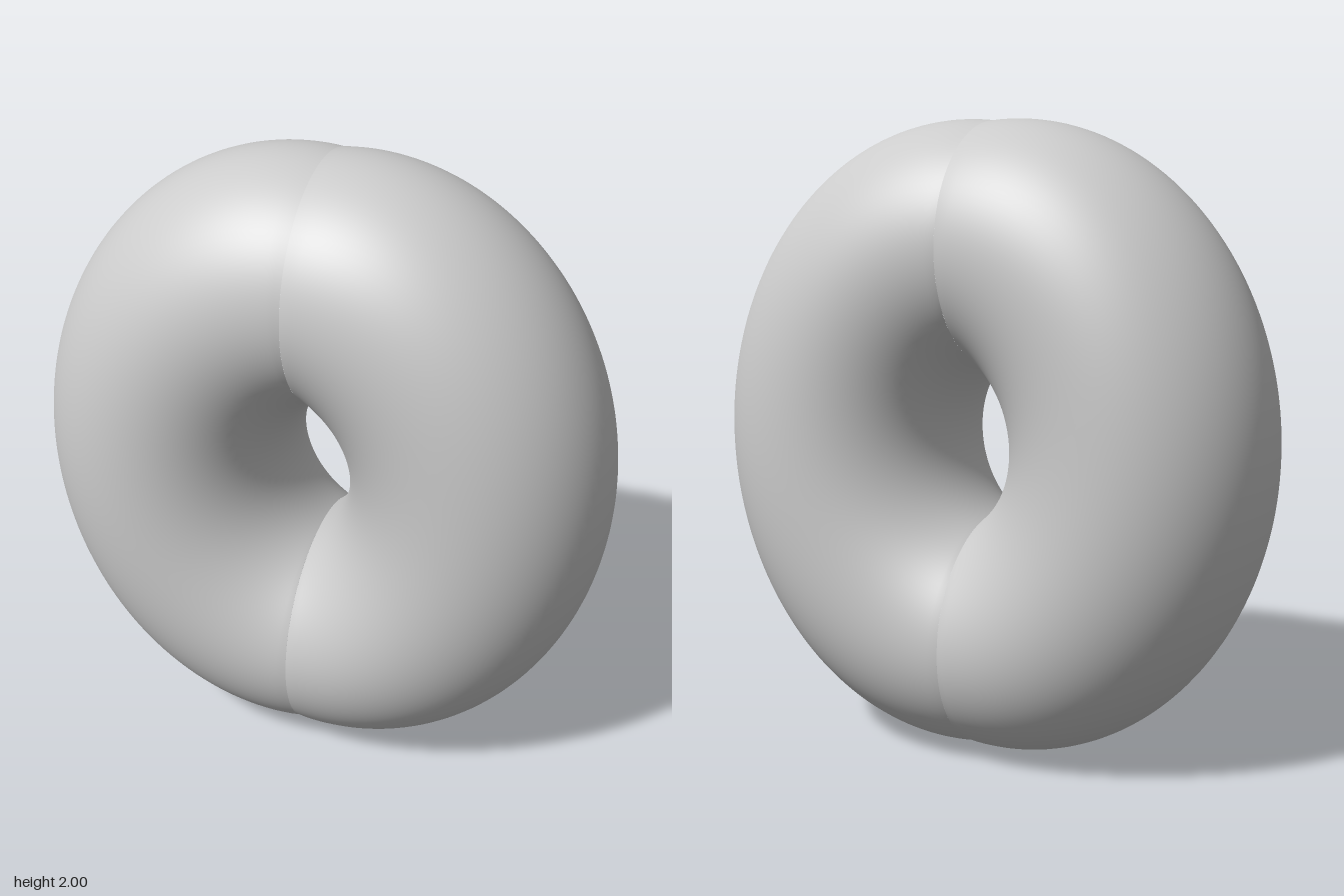
import * as THREE from 'three';

const RINGS = 96, SIDES = 96;

// One bulging C-shaped half; side = 1 for the model's left, -1 for its right.
function halfRing(side) {
  const pos = [], idx = [];
  const outerEnd = Math.acos(-0.08 / 0.84); // outer ellipse, centred just off the seam
  const innerEnd = Math.asin(0.24 / 0.327); // inner arc, one side of the lens-shaped hole
  for (let i = 0; i <= RINGS; i++) {
    const t = (i / RINGS) * 2 - 1;
    const a = t * outerEnd, b = t * innerEnd;
    const ox = 0.08 + 0.84 * Math.cos(a), oy = 1 + Math.sin(a);
    const ix = 0.327 * Math.cos(b) - 0.222, iy = 1 + 0.327 * Math.sin(b);
    const depth = 0.385 + 0.041 * Math.pow(Math.max(0, Math.cos(t * Math.PI / 2)), 0.7);
    // elliptical cross-section spanning from the inner to the outer curve
    for (let j = 0; j < SIDES; j++) {
      const p = (j / SIDES) * Math.PI * 2, k = (1 + Math.cos(p)) / 2;
      const x = Math.max(0, ix + (ox - ix) * k);
      pos.push(side * x, iy + (oy - iy) * k, depth * Math.sin(p));
    }
  }
  for (let i = 0; i < RINGS; i++) {
    for (let j = 0; j < SIDES; j++) {
      const n = (j + 1) % SIDES;
      const a = i * SIDES + j, b = a + SIDES;
      const c = (i + 1) * SIDES + n, d = i * SIDES + n;
      if (side > 0) idx.push(a, b, c, a, c, d);
      else idx.push(a, c, b, a, d, c);
    }
  }
  const geo = new THREE.BufferGeometry();
  geo.setAttribute('position', new THREE.Float32BufferAttribute(pos, 3));
  geo.setIndex(idx);
  geo.computeVertexNormals();
  return geo;
}

export function createModel() {
  const group = new THREE.Group();
  group.name = 'pinchedRing';
  const material = new THREE.MeshStandardMaterial({ color: 0xcccccc });
  // two mirrored halves meeting in a crease at x = 0
  for (const [name, side] of [['leftHalf', 1], ['rightHalf', -1]]) {
    const mesh = new THREE.Mesh(halfRing(side), material);
    mesh.name = name;
    group.add(mesh);
  }
  return group;
}
